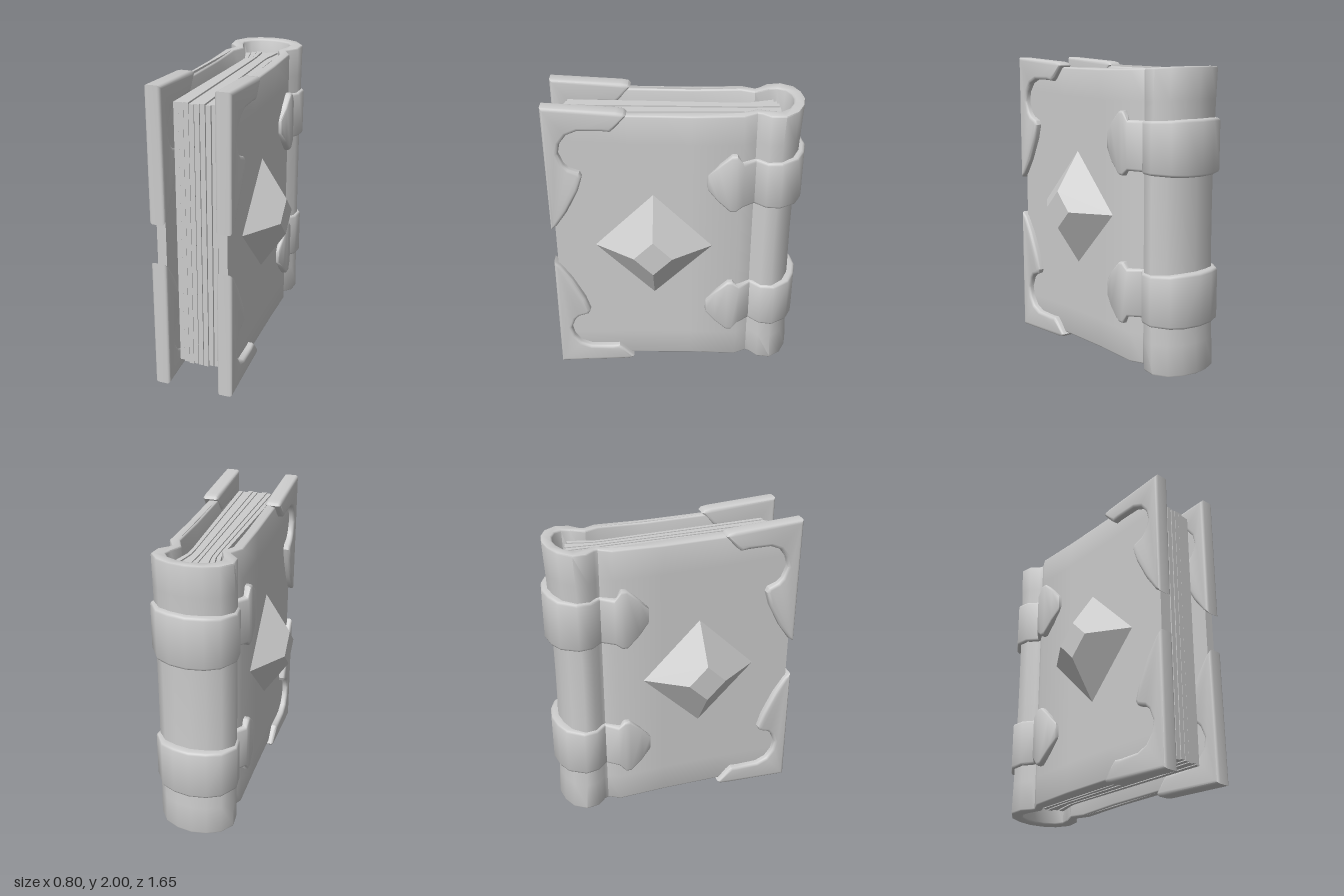
import * as THREE from 'three';
import { toCreasedNormals } from 'three/addons/utils/BufferGeometryUtils.js';

const material = new THREE.MeshStandardMaterial({ color: 0xcccccc });

// Move every vertex by a rule.
function bend(geo, rule) {
  const p = geo.attributes.position, v = new THREE.Vector3();
  for (let i = 0; i < p.count; i++) {
    rule(v.fromBufferAttribute(p, i));
    p.setXYZ(i, v.x, v.y, v.z);
  }
  return geo;
}

// Mirrored copy with the corner order kept outward and edges creased.
function mirrored(geo, sx, sy, crease) {
  const g = geo.index ? geo.toNonIndexed() : geo.clone();
  g.scale(sx, sy, 1);
  if (sx * sy < 0) {
    const a = g.attributes.position.array;
    for (let i = 0; i < a.length; i += 9) {
      for (let k = 3; k < 6; k++) [a[i + k], a[i + k + 3]] = [a[i + k + 3], a[i + k]];
    }
  }
  return toCreasedNormals(g, crease);
}

// Both boards and the rounded spine: one U-shaped section extruded upward.
function coverGeometry() {
  const outer = [[.23, .79], [.23, .3], [.23, -.1], [.23, -.42], [.185, -.5], [.195, -.525],
    [.245, -.58], [.252, -.67], [.19, -.75], [.1, -.79], [0, -.805]];
  const inner = [[.17, .79], [.167, .3], [.165, -.1], [.165, -.41], [.125, -.5],
    [.16, -.59], [.17, -.645], [.135, -.695], [.07, -.725], [0, -.735]];
  const flip = (pts) => pts.slice(0, -1).map(([x, z]) => [-x, z]);
  const outline = [...outer, ...flip(outer).reverse(), ...flip(inner), ...inner.slice().reverse()];
  const shape = new THREE.Shape(outline.map(([x, z]) => new THREE.Vector2(x, -z)));
  const b = 0.012;
  const geo = new THREE.ExtrudeGeometry(shape, {
    depth: 2 - 2 * b, steps: 10, bevelThickness: b, bevelSize: b, bevelOffset: -b, bevelSegments: 2,
  });
  geo.translate(0, 0, b - 1).rotateX(-Math.PI / 2);
  // Concave top and bottom edges, spine slightly waisted.
  return bend(geo, (v) => {
    const z = v.z;
    if (z < -0.55) v.z += 0.03 * (1 - v.y * v.y) * Math.min(1, (-0.55 - z) / 0.15);
    v.y *= 0.935 + 0.045 * z * z;
  });
}

// Ornamental corner guard (upper, +x side) wrapping both faces of the board.
function cornerGeometry() {
  const pts = [[.82, 1], [.36, .975], [.315, .967], [.3, .95], [.37, .87], [.4, .845], [.45, .85],
    [.6, .85], [.67, .82], [.715, .76], [.73, .69], [.7, .615], [.67, .585], [.605, .56], [.59, .53],
    [.62, .43], [.7, .27], [.775, .16], [.815, .13]];
  const shape = new THREE.Shape(pts.map(([z, y]) => new THREE.Vector2(-z, y)));
  const b = 0.022;
  const geo = new THREE.ExtrudeGeometry(shape, {
    depth: 0.125 - 2 * b, bevelThickness: b, bevelSize: b, bevelOffset: -b, bevelSegments: 3,
  });
  geo.rotateY(Math.PI / 2).translate(0.152 + b, 0, 0);
  // Thinner toward the outer edges.
  return bend(geo, (v) => {
    const k = Math.max(0, (v.z - 0.6) / 0.22, (v.y - 0.8) / 0.2);
    v.x = 0.218 + (v.x - 0.218) * (1 - 0.2 * k);
  });
}

// Strap lofted around the spine, with a pointed tab on each cover.
function strapGeometry() {
  // x, z of the outer surface, then upper and lower edge heights
  const half = [[.225, -.2, .54, .44], [.25, -.205, .55, .425], [.268, -.27, .615, .355],
    [.272, -.35, .685, .28], [.272, -.385, .685, .28], [.268, -.43, .63, .315],
    [.205, -.505, .63, .31], [.263, -.575, .635, .31], [.272, -.665, .64, .31],
    [.2, -.77, .645, .305], [.11, -.81, .65, .3]];
  const path = [...half, [0, -.828, .65, .3],
    ...half.slice().reverse().map(([x, z, hi, lo]) => [-x, z, hi, lo])];
  const thick = 0.05, b = 0.018, N = 8, pos = [], idx = [];
  path.forEach(([x, z, hi, lo], i) => {
    const p = path[Math.max(0, i - 1)], q = path[Math.min(path.length - 1, i + 1)];
    const len = Math.hypot(q[0] - p[0], q[1] - p[1]);
    const nx = -(q[1] - p[1]) / len, nz = (q[0] - p[0]) / len;
    const ring = [[0, lo + b], [0, hi - b], [b * .3, hi - b * .3], [b, hi],
      [thick, hi], [thick, lo], [b, lo], [b * .3, lo + b * .3]];
    for (const [d, y] of ring) pos.push(x - nx * d, y, z - nz * d);
    if (i === path.length - 1) return;
    for (let j = 0; j < N; j++) {
      const a = i * N + j, c = i * N + (j + 1) % N;
      idx.push(a, a + N, c, c, a + N, c + N);
    }
  });
  const last = (path.length - 1) * N;
  for (let k = 1; k < N - 1; k++) idx.push(0, k, k + 1, last, last + k + 1, last + k);
  const geo = new THREE.BufferGeometry();
  geo.setAttribute('position', new THREE.Float32BufferAttribute(pos, 3));
  geo.setIndex(idx);
  return geo;
}

// One bundle of pages; u runs from -1 to 1 across the block.
function pageGeometry(i, count) {
  const pitch = 2 / count, u = -1 + pitch * (i + 0.5);
  const geo = new THREE.BoxGeometry(pitch * 0.9, 1.75 + (i % 3) * 0.008, 1.38, 1, 1, 16);
  bend(geo, (v) => {
    const z = v.z + 0.03, s = u + v.x;
    // Pinched near the spine and fanned at both ends.
    const width = z > -0.47 ? 0.1 + 0.036 * (z + 0.47) / 1.17 : 0.1 + 0.05 * (-0.47 - z) / 0.18;
    v.x = s * width;
    v.z = z + (z < 0 ? 0.05 * u * u * (-z / 0.66) : -0.02 * u * u * (z / 0.72));
    v.y += 0.005;
  });
  geo.computeVertexNormals();
  return geo;
}

export function createModel() {
  const model = new THREE.Group();
  model.name = 'book';
  const book = new THREE.Group();
  book.name = 'bookBody';
  book.position.y = 1;
  model.add(book);
  const add = (name, geo) => {
    const mesh = new THREE.Mesh(geo, material);
    mesh.name = name;
    book.add(mesh);
  };

  add('coverAndSpine', toCreasedNormals(coverGeometry(), 0.8));

  const pages = 8;
  for (let i = 0; i < pages; i++) add(`pages${i + 1}`, pageGeometry(i, pages));

  const corner = cornerGeometry(), strap = strapGeometry();
  // Faceted diamond stud
  const gem = new THREE.CylinderGeometry(0.125, 0.4, 0.18, 4, 1);
  gem.rotateZ(-Math.PI / 2).translate(0.31, 0, 0.145);

  for (const sy of [1, -1]) {
    const level = sy > 0 ? 'upper' : 'lower';
    add(`${level}Strap`, mirrored(strap, 1, sy, 0.85));
    for (const sx of [1, -1]) {
      add(`${level}${sx > 0 ? 'Left' : 'Right'}Corner`, mirrored(corner, sx, sy, 0.7));
    }
  }
  for (const sx of [1, -1]) add(sx > 0 ? 'leftGem' : 'rightGem', mirrored(gem, sx, 1, 0.1));

  return model;
}
